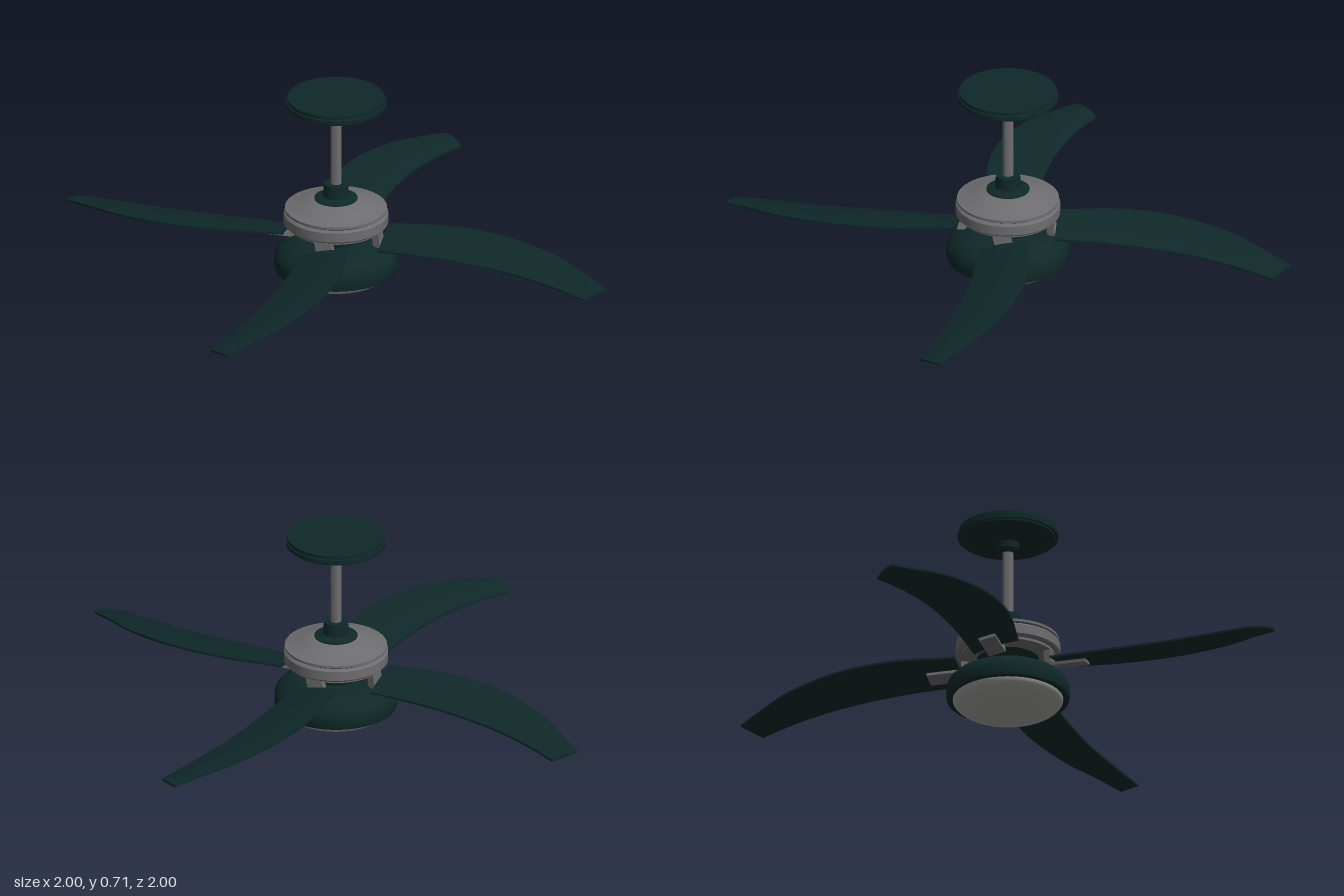
import * as THREE from 'three';
import { toCreasedNormals } from 'three/addons/utils/BufferGeometryUtils.js';

const mat = (name, color) => {
  const m = new THREE.MeshStandardMaterial({ color });
  m.name = name;
  return m;
};
const darkGreen = mat('dark green', 0x0f2828);
const metal = mat('brushed metal', 0x6e6e70);
const glass = mat('frosted glass', 0xa4a4a0);

const named = (name, geometry, material) => {
  const mesh = new THREE.Mesh(geometry, material);
  mesh.name = name;
  return mesh;
};

// Turned part; the [radius, y] profile runs from bottom to top
const turned = (name, profile, material) => {
  const pts = profile.map(([r, y]) => new THREE.Vector2(r, y));
  return named(name, toCreasedNormals(new THREE.LatheGeometry(pts, 48), 0.6), material);
};

// Curved, pitched blade: a thin box bent between its two edge curves
function bladeGeometry() {
  const curve = (pts) => new THREE.CatmullRomCurve3(pts.map((p) => new THREE.Vector3(...p)));
  const lead = curve([[0.17, 0.204, -0.085], [0.4, 0.205, -0.11], [0.6, 0.196, -0.085],
    [0.8, 0.177, -0.005], [0.9, 0.162, 0.065], [1, 0.143, 0.135]]);
  const trail = curve([[0.17, 0.17, 0.075], [0.4, 0.168, 0.087], [0.6, 0.16, 0.112],
    [0.75, 0.15, 0.148], [0.85, 0.14, 0.18], [0.94, 0.128, 0.213]]);
  const geo = new THREE.BoxGeometry(1, 1, 1, 28, 1, 6);
  const pos = geo.attributes.position;
  for (let i = 0; i < pos.count; i++) {
    const u = pos.getX(i) + 0.5;
    const v = pos.getZ(i) + 0.5;
    const arch = 4 * v * (1 - v);
    const p = lead.getPoint(u).lerp(trail.getPoint(u), v);
    // Rounded tip, slight camber and thickness
    p.x += 0.01 * arch * u ** 12;
    p.y += 0.006 * arch + pos.getY(i) * 0.008;
    pos.setXYZ(i, p.x, p.y, p.z);
  }
  geo.computeVertexNormals();
  return geo;
}

// Bent arm that drops from the motor and runs out under the blade
function armGeometry() {
  const s = new THREE.Shape();
  s.moveTo(0.138, 0.235);
  s.lineTo(0.138, 0.185);
  s.quadraticCurveTo(0.138, 0.166, 0.158, 0.166);
  s.lineTo(0.285, 0.166);
  s.lineTo(0.285, 0.177);
  s.lineTo(0.172, 0.177);
  s.quadraticCurveTo(0.162, 0.177, 0.162, 0.188);
  s.lineTo(0.162, 0.235);
  const geo = new THREE.ExtrudeGeometry(s, { depth: 0.06, bevelEnabled: false, curveSegments: 6 });
  geo.translate(0, -0.18, -0.03);
  geo.rotateX(0.2);
  geo.translate(0, 0.18, 0);
  return geo;
}

export function createModel() {
  const fan = new THREE.Group();
  fan.name = 'ceilingFan';

  // Ceiling mount and rod
  fan.add(turned('canopy', [[0, 0.62], [0.028, 0.62], [0.038, 0.632], [0.04, 0.655], [0.08, 0.658],
    [0.165, 0.672], [0.167, 0.68], [0.175, 0.68], [0.175, 0.694], [0.17, 0.696], [0.17, 0.708], [0, 0.708]], darkGreen));
  fan.add(turned('rod', [[0.019, 0.34], [0.019, 0.63]], metal));
  fan.add(turned('rodCollar', [[0.075, 0.315], [0.075, 0.326], [0.045, 0.335], [0.042, 0.38], [0, 0.38]], darkGreen));

  // Motor housing
  fan.add(turned('motorTop', [[0.165, 0.28], [0.178, 0.28], [0.178, 0.289], [0.155, 0.293],
    [0.12, 0.308], [0.075, 0.322], [0, 0.322]], metal));
  fan.add(turned('motorGroove', [[0.168, 0.268], [0.168, 0.284]], darkGreen));
  fan.add(turned('motorBody', [[0.16, 0.227], [0.174, 0.227], [0.182, 0.234], [0.182, 0.268],
    [0.176, 0.274], [0.16, 0.274]], metal));
  fan.add(turned('motorBase', [[0, 0.212], [0.14, 0.212], [0.165, 0.218], [0.165, 0.23]], metal));
  fan.add(turned('neck', [[0.075, 0.15], [0.08, 0.18], [0.1, 0.2], [0.11, 0.214]], darkGreen));

  // Light fitting
  fan.add(turned('lightBowl', [[0.185, 0.06], [0.212, 0.06], [0.215, 0.068], [0.215, 0.1], [0.208, 0.122],
    [0.19, 0.14], [0.155, 0.158], [0.125, 0.165], [0, 0.165]], darkGreen));
  const dish = [];
  for (let i = 0; i <= 12; i++) {
    const a = (i / 12) * Math.PI / 2;
    dish.push([0.193 * Math.sin(a), 0.062 * (1 - Math.cos(a))]);
  }
  fan.add(turned('lightDish', dish, glass));

  // Four blades with their arms
  const blade = bladeGeometry();
  const arm = armGeometry();
  for (let i = 0; i < 4; i++) {
    const unit = new THREE.Group();
    unit.name = 'bladeUnit' + (i + 1);
    unit.add(named('blade', blade, darkGreen), named('bladeArm', arm, metal));
    unit.rotation.y = i * Math.PI / 2;
    fan.add(unit);
  }
  return fan;
}
